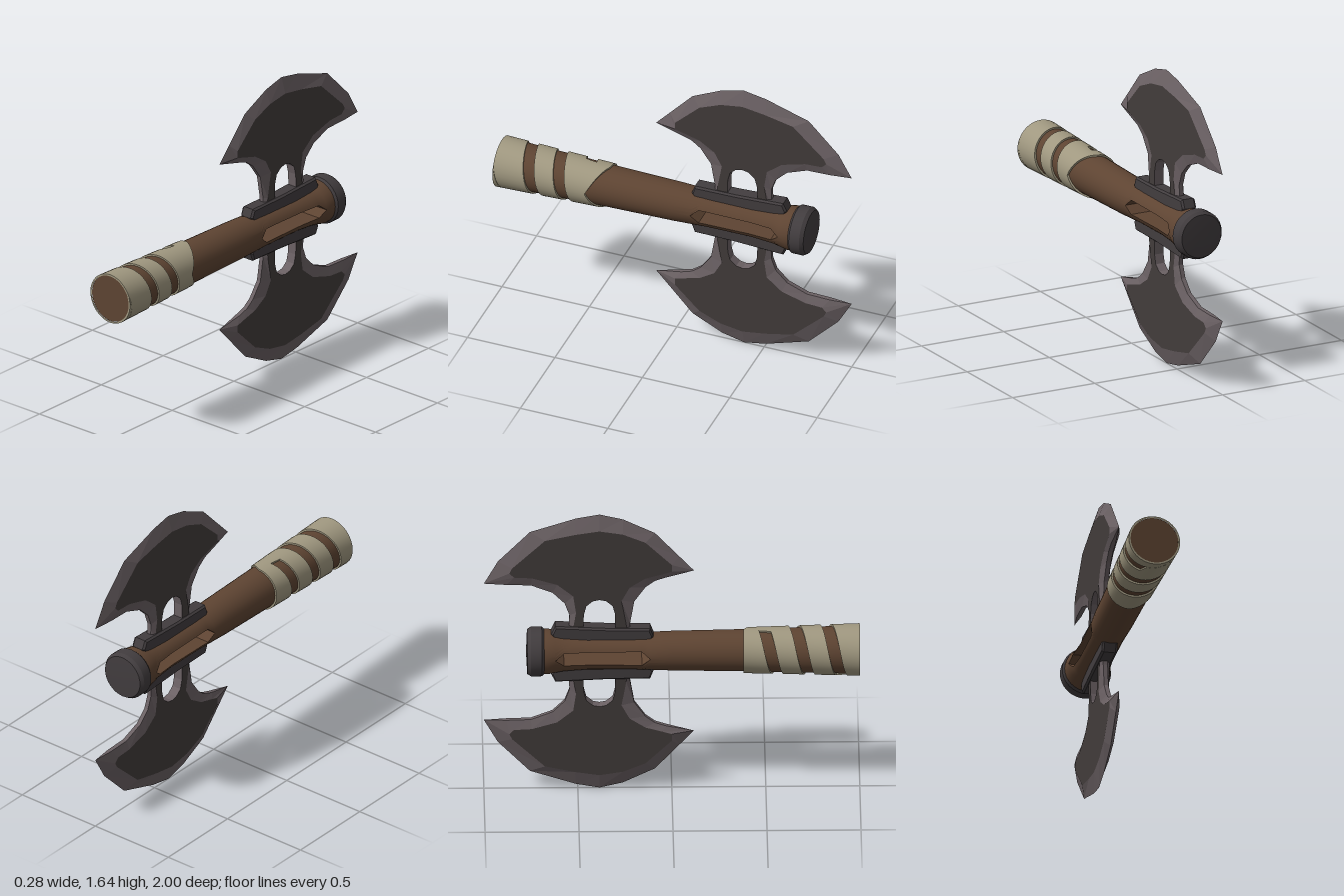
import * as THREE from 'three';
import { mergeGeometries, toCreasedNormals } from 'three/addons/utils/BufferGeometryUtils.js';

const AXIS = 0.826; // height of the handle axis
const mat = (name, color) => {
  const m = new THREE.MeshStandardMaterial({ color });
  m.name = name;
  return m;
};

// Collects triangles and quads, corners counter-clockwise from outside
const push = (out, a, b, c, d) => {
  out.push(...a, ...b, ...c);
  if (d) out.push(...a, ...c, ...d);
};
const toGeometry = (out) => {
  const g = new THREE.BufferGeometry();
  g.setAttribute('position', new THREE.Float32BufferAttribute(out, 3));
  g.computeVertexNormals();
  return g;
};

// Piecewise linear lookup, keys falling in z
const lookup = (table, z) => {
  for (let i = 1; i < table.length; i++) {
    const [z0, v0] = table[i - 1], [z1, v1] = table[i];
    if (z >= z1) return THREE.MathUtils.mapLinear(z, z0, z1, v0, v1);
  }
  return table[table.length - 1][1];
};
const RADIUS = [[1, 0.13], [0.4, 0.113], [0, 0.106], [-0.2, 0.098], [-0.45, 0.097], [-0.58, 0.106], [-0.66, 0.122], [-0.7, 0.122]];
const SLOT = [[1, 0], [-0.115, 0], [-0.16, 0.04], [-0.575, 0.036], [-0.62, 0], [-0.7, 0]];

// Handle: two halves that part around the long pointed slot
function handleGeometry() {
  const zs = [0.998, 0.7, 0.4, 0.2, 0, -0.115, -0.16, -0.2, -0.3, -0.45, -0.53, -0.575, -0.62, -0.66, -0.7];
  const n = 16, out = [];
  const rings = zs.map((z) => {
    const r = lookup(RADIUS, z), a0 = Math.asin(lookup(SLOT, z) / r);
    return Array.from({ length: n + 1 }, (_, i) => {
      const a = a0 + (Math.PI - 2 * a0) * i / n;
      return [r * Math.cos(a), r * Math.sin(a), z];
    });
  });
  for (let k = 0; k < rings.length - 1; k++) {
    const p = rings[k], q = rings[k + 1];
    for (let i = 0; i < n; i++) push(out, p[i], q[i], q[i + 1], p[i + 1]);
    if (zs[k] < -0.1 && zs[k + 1] > -0.63) push(out, p[0], p[n], q[n], q[0]); // slot wall
  }
  for (let i = 0; i < n; i++) push(out, [0, 0, 0.998], rings[0][i], rings[0][i + 1]); // butt end
  const half = toGeometry(out);
  return toCreasedNormals(mergeGeometries([half, half.clone().rotateZ(Math.PI)]), 0.5);
}

// Grip: one band wound around the handle, t counts turns from the top
function gripGeometry() {
  const out = [], steps = 32, pitch = 0.17;
  const ring = (t) => {
    const hi = Math.min(1, 0.8 - pitch * t + (t < -0.45 ? 0.06 : 0));
    const lo = Math.min(1, t < 1 ? 0.692 - pitch * t : 0.38 + 0.1 * Math.max(0, 1 - 4 * Math.abs(t - 1.25)));
    const at = (z, lift) => {
      const r = lookup(RADIUS, z) + lift, a = t * 2 * Math.PI;
      return [r * Math.sin(a), r * Math.cos(a), z];
    };
    return { hiIn: at(hi, 0), hiOut: at(hi, 0.01), loIn: at(lo, 0), loOut: at(lo, 0.01) };
  };
  for (let i = -1.8125 * steps; i < 2 * steps; i++) {
    const p = ring(i / steps), q = ring((i + 1) / steps);
    push(out, p.hiOut, q.hiOut, q.loOut, p.loOut);
    push(out, p.hiIn, q.hiIn, q.hiOut, p.hiOut);
    push(out, p.loOut, q.loOut, q.loIn, p.loIn);
  }
  return toCreasedNormals(toGeometry(out), 0.5);
}

// Blade outline: rim z, rim y, flat z, flat y, half thickness at the rim
const T = 0.027, B = 0.012;
const OUTLINE = [
  [-0.225, 0.92, -0.24, 0.92, B], [-0.222, 1.0, -0.243, 1.0, B], [-0.2, 1.13, -0.268, 1.14, B],
  [-0.14, 1.215, -0.225, 1.22, B], [-0.09, 1.253, -0.14, 1.275, B], [-0.03, 1.273, -0.05, 1.3, B],
  [0.118, 1.308, 0, 1.315, 0], [0.04, 1.393, 0, 1.355, 0], [-0.09, 1.535, -0.14, 1.49, 0],
  [-0.26, 1.618, -0.26, 1.54, 0], [-0.385, 1.648, -0.385, 1.56, 0], [-0.51, 1.625, -0.515, 1.54, 0],
  [-0.755, 1.545, -0.675, 1.505, 0], [-0.925, 1.37, -0.85, 1.34, 0], [-1, 1.236, -0.865, 1.31, 0],
  [-0.88, 1.234, -0.84, 1.285, B], [-0.75, 1.23, -0.745, 1.28, B], [-0.635, 1.185, -0.61, 1.24, B],
  [-0.57, 1.12, -0.525, 1.17, B], [-0.545, 1.05, -0.51, 1.07, B], [-0.55, 0.92, -0.535, 0.92, B],
];
const NOTCH = [[-0.475, 0.92], [-0.468, 1.06], [-0.455, 1.11], [-0.42, 1.14], [-0.385, 1.147],
  [-0.35, 1.14], [-0.315, 1.11], [-0.302, 1.06], [-0.3, 0.92]];

function bladeGeometries() {
  const loop = [...OUTLINE, ...NOTCH.map(([z, y]) => [z, y, z, y, T])];
  const rim = (p, s) => [s * p[4], p[1] - AXIS, p[0]];
  const flat = (p, s) => [s * T, p[3] - AXIS, p[2]];
  const bevel = [], face = [];
  loop.forEach((p, i) => {
    const q = loop[(i + 1) % loop.length];
    push(bevel, flat(p, 1), flat(q, 1), rim(q, 1), rim(p, 1));
    push(bevel, rim(p, -1), rim(q, -1), flat(q, -1), flat(p, -1));
    if (p[4] + q[4] > 0) push(bevel, rim(p, 1), rim(q, 1), rim(q, -1), rim(p, -1));
  });
  const pts = loop.map((p) => new THREE.Vector2(p[2], p[3]));
  for (const tri of THREE.ShapeUtils.triangulateShape(pts, [])) {
    if (THREE.ShapeUtils.area(tri.map((i) => pts[i])) > 0) tri.reverse();
    const [a, b, c] = tri.map((i) => loop[i]);
    push(face, flat(a, 1), flat(b, 1), flat(c, 1));
    push(face, flat(c, -1), flat(b, -1), flat(a, -1));
  }
  return { bevel: toGeometry(bevel), face: toGeometry(face) };
}

// Mounting rail: side profile with slanted ends, extruded across x
function railGeometry() {
  const profile = [[0.108, 0.93], [0.122, 0.967], [0.35, 0.97], [0.615, 0.983], [0.632, 0.945], [0.61, 0.905], [0.125, 0.905]];
  const shape = new THREE.Shape(profile.map(([s, y]) => new THREE.Vector2(s, y - AXIS)));
  const g = new THREE.ExtrudeGeometry(shape, { depth: 0.062, bevelThickness: 0.011, bevelSize: 0.009, bevelSegments: 1 });
  return g.translate(0, 0, -0.031).rotateY(Math.PI / 2);
}

export function createModel() {
  const wood = mat('brown wood', 0x5e4432);
  const cloth = mat('tan wrap', 0xa09880);
  const iron = mat('dark iron', 0x423d3f);
  const steel = mat('blade face', 0x423c3b);
  const edge = mat('blade bevel', 0x6b6164);

  const model = new THREE.Group();
  model.name = 'doubleAxe';
  const body = new THREE.Group();
  body.name = 'axe';
  body.position.y = AXIS;
  model.add(body);
  const add = (parent, name, geometry, material) => {
    const m = new THREE.Mesh(geometry, material);
    m.name = name;
    parent.add(m);
    return m;
  };

  add(body, 'handle', handleGeometry(), wood);
  add(body, 'gripWrap', gripGeometry(), cloth);

  // End cap
  const cap = [[0, 0.68], [0.122, 0.68], [0.133, 0.692], [0.133, 0.75], [0.12, 0.77], [0, 0.776]];
  const capGeo = new THREE.LatheGeometry(cap.map(([r, s]) => new THREE.Vector2(r, s)), 32);
  add(body, 'endCap', toCreasedNormals(capGeo.rotateX(-Math.PI / 2), 0.5), iron);

  // Upper and lower blades with their rails
  const blade = bladeGeometries(), rail = railGeometry();
  ['upper', 'lower'].forEach((side, i) => {
    const half = new THREE.Group();
    half.name = side + 'Blade';
    half.rotation.z = i * Math.PI;
    add(half, side + 'BladeBevel', blade.bevel, edge);
    add(half, side + 'BladeFace', blade.face, steel);
    add(half, side + 'Rail', rail, iron);
    body.add(half);
  });
  return model;
}
